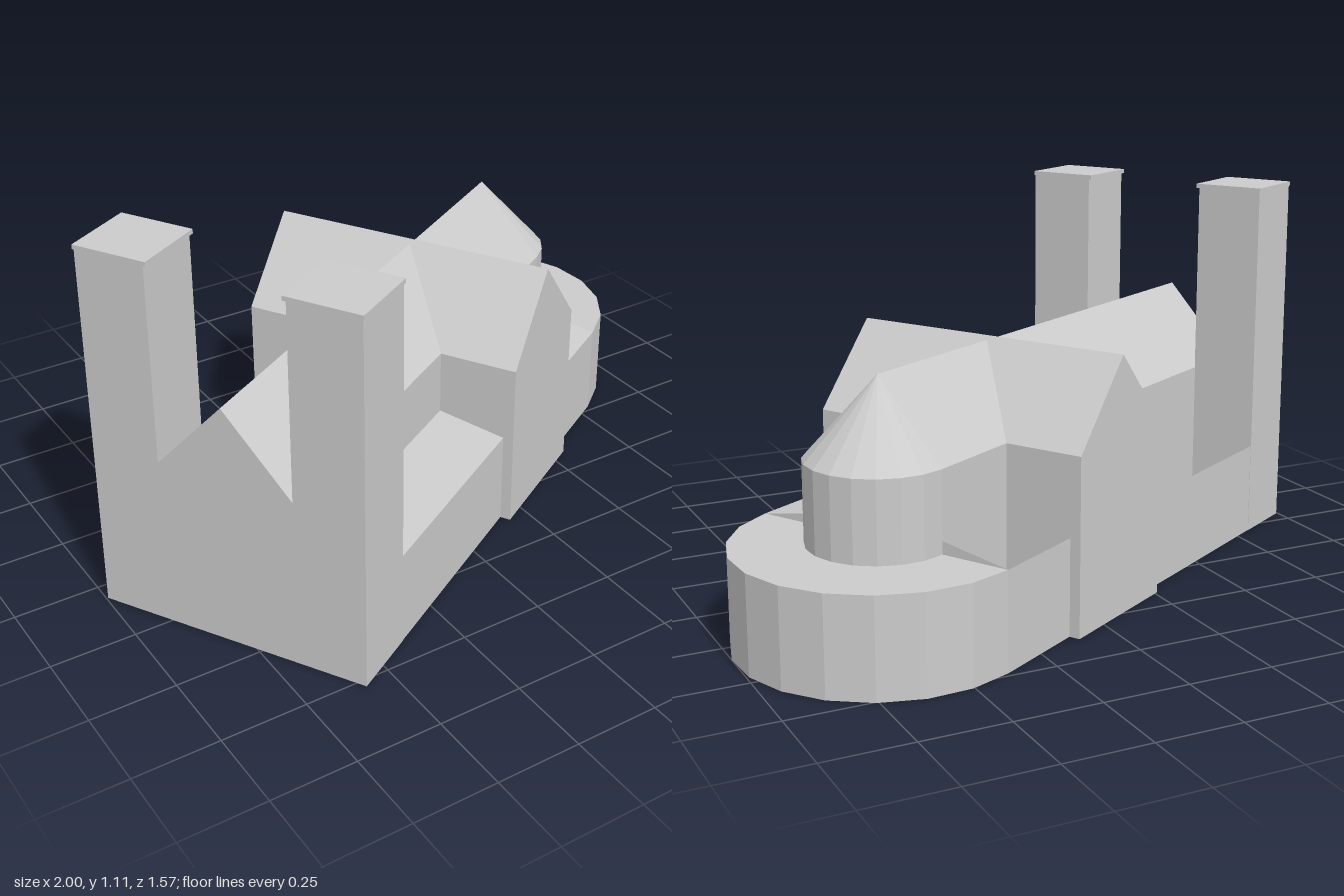
import * as THREE from 'three';

const stone = new THREE.MeshStandardMaterial({ color: 0xcccccc, flatShading: true, side: THREE.DoubleSide });
stone.name = 'grey stone';

// Half widths and heights shared by the parts
const NAVE = 0.205, AISLE = 0.412, EAVES = 0.515, RIDGE = 0.74, LOW = 0.283;
const WEST = -0.892, TOWER_EAST = -0.682, APSE = 0.7;
const T0 = -0.025, T1 = 0.403; // transept from west to east

// Keeps only the triangles whose normal passes the test
function keepFaces(geo, test) {
  const src = geo.index ? geo.toNonIndexed() : geo;
  const pos = src.attributes.position, out = [];
  const t = new THREE.Triangle(), n = new THREE.Vector3();
  for (let i = 0; i < pos.count; i += 3) {
    t.setFromAttributeAndIndices(pos, i, i + 1, i + 2);
    t.getNormal(n);
    if (test(n)) for (const p of [t.a, t.b, t.c]) out.push(p.x, p.y, p.z);
  }
  const g = new THREE.BufferGeometry();
  g.setAttribute('position', new THREE.Float32BufferAttribute(out, 3));
  g.computeVertexNormals();
  return g;
}
const notFloor = n => n.y > -0.9;
const wallsOnly = n => Math.abs(n.y) < 0.5;

// Hollow prism with an open bottom, running along z
function prism(profile, from, to, test = notFloor) {
  const shape = new THREE.Shape(profile.map(([x, y]) => new THREE.Vector2(x, y)));
  const g = new THREE.ExtrudeGeometry(shape, { depth: to - from, bevelEnabled: false });
  return keepFaces(g.translate(0, 0, from), test);
}

// The same prism running along x, with profile points given as [z, y]
function prismAlongX(profile, from, to, test) {
  return prism(profile.map(([z, y]) => [-z, y]), from, to, test).rotateY(Math.PI / 2);
}

const house = (a, b, ridge) => [[a, 0], [b, 0], [b, EAVES], [(a + b) / 2, ridge], [a, EAVES]];

export function createModel() {
  const model = new THREE.Group();
  model.name = 'church';
  const add = (name, geo, x = 0, y = 0, z = 0) => {
    const m = new THREE.Mesh(geo, stone);
    m.name = name;
    m.position.set(x, y, z);
    model.add(m);
  };

  // Nave and crossing transept
  add('nave', prismAlongX(house(-NAVE, NAVE, RIDGE), WEST, APSE));
  add('transept', prism(house(T0, T1, 0.752), -0.444, 0.444));

  // Side aisles either side of the transept; the north ones are roofless
  for (const s of [1, -1]) {
    const profile = [[s * NAVE, 0], [s * AISLE, 0], [s * AISLE, LOW], [s * NAVE, 0.32]];
    const side = s > 0 ? 'south' : 'north', test = s > 0 ? notFloor : wallsOnly;
    add(side + 'NaveAisle', prismAlongX(profile, TOWER_EAST, T0, test));
    add(side + 'ChoirAisle', prismAlongX(profile, T1, APSE, test));
  }

  // Twin west towers with thin caps
  const len = TOWER_EAST - WEST, width = AISLE - NAVE + 0.002;
  for (const s of [1, -1]) {
    const side = s > 0 ? 'south' : 'north';
    const x = (WEST + TOWER_EAST) / 2, z = s * (AISLE + NAVE) / 2;
    add(side + 'Tower', keepFaces(new THREE.BoxGeometry(len, 1.095, width), notFloor), x, 0.5475, z);
    add(side + 'TowerCap', new THREE.BoxGeometry(len + 0.006, 0.013, width + 0.012), x, 1.1015, z - s * 0.003);
  }

  // Rounded apse with half-cone roof
  add('apseWall', new THREE.CylinderGeometry(NAVE, NAVE, EAVES, 10, 1, true, 0, Math.PI), APSE, EAVES / 2);
  add('apseRoof', new THREE.ConeGeometry(NAVE, RIDGE - EAVES, 10, 1, true, 0, Math.PI), APSE, (RIDGE + EAVES) / 2);

  // Low walkway curving round the apse
  add('ambulatoryWall', new THREE.CylinderGeometry(AISLE, AISLE, LOW, 10, 1, true, 0, Math.PI), APSE, LOW / 2);
  add('ambulatoryRoof', new THREE.RingGeometry(NAVE, AISLE, 10, 1, -Math.PI / 2, Math.PI).rotateX(-Math.PI / 2), APSE, LOW);

  // The church stands turned on its plot
  model.rotation.y = Math.PI / 6;
  model.position.set(-0.016, 0, -0.028);
  const root = new THREE.Group();
  root.add(model);
  return root;
}
